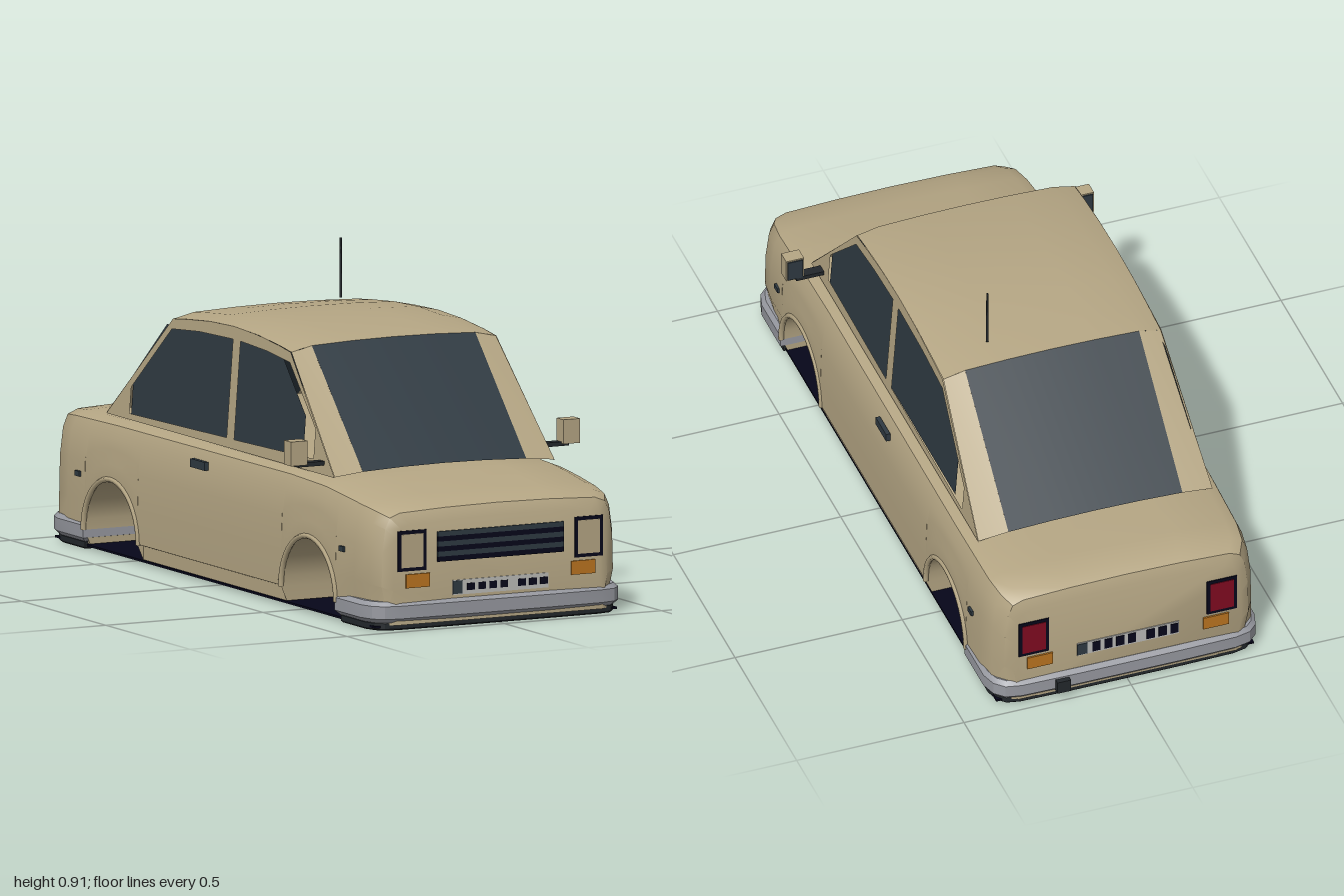
import * as THREE from 'three';
import { toCreasedNormals } from 'three/addons/utils/BufferGeometryUtils.js';

const mat = (name, color, side = THREE.FrontSide) => {
  const m = new THREE.MeshStandardMaterial({ color, side });
  m.name = name;
  return m;
};

export function createModel() {
  const car = new THREE.Group();
  car.name = 'car';
  const paint = mat('beige paint', 0xb5a684, THREE.DoubleSide);
  const glass = mat('slate glass', 0x2f3a42, THREE.DoubleSide);
  const black = mat('navy black', 0x06061a, THREE.DoubleSide);
  const steel = mat('bumper grey', 0x9799a0);
  const rubber = mat('dark rubber', 0x23282c);
  const orange = mat('indicator orange', 0xbb7520);
  const red = mat('tail red', 0x800a20);
  const white = mat('plate grey', 0xbbbbb8);

  const add = (parent, name, geo, material) => {
    const m = new THREE.Mesh(geo, material);
    m.name = name;
    parent.add(m);
    return m;
  };
  // box given by its limits
  const box = (parent, name, material, x0, x1, y0, y1, z0, z1) => {
    const m = add(parent, name, new THREE.BoxGeometry(x1 - x0, y1 - y0, z1 - z0), material);
    m.position.set((x0 + x1) / 2, (y0 + y1) / 2, (z0 + z1) / 2);
    return m;
  };
  const buildGeo = (pos, idx, crease = 0.5) => {
    const g = new THREE.BufferGeometry();
    g.setAttribute('position', new THREE.Float32BufferAttribute(pos, 3));
    g.setIndex(idx);
    return toCreasedNormals(g, crease);
  };

  // ---- lower body: cross-sections along z, [z, half width, top] ----
  const hull = [[-0.972, 0.34, 0.335], [-0.96, 0.365, 0.367], [-0.92, 0.388, 0.386], [-0.85, 0.398, 0.392],
    [-0.6, 0.403, 0.398], [0.43, 0.403, 0.402], [0.64, 0.403, 0.395], [0.745, 0.402, 0.383],
    [0.85, 0.398, 0.369], [0.92, 0.388, 0.357], [0.958, 0.368, 0.342], [0.975, 0.34, 0.31]];
  const hullAt = z => {
    let i = 0;
    while (i < hull.length - 2 && z > hull[i + 1][0]) i++;
    const a = hull[i], b = hull[i + 1], k = (z - a[0]) / (b[0] - a[0]);
    return [a[1] + (b[1] - a[1]) * k, a[2] + (b[2] - a[2]) * k];
  };
  const BOTTOM = 0.018, ARCH_Z = 0.587, ARCH_R = 0.16, ARCH_Y = 0.06;
  const stations = hull.filter(h => Math.abs(Math.abs(h[0]) - ARCH_Z) > ARCH_R).map(h => [h[0], BOTTOM]);
  for (const c of [-ARCH_Z, ARCH_Z]) {
    for (const s of [-1, 1]) stations.push([c + s * (ARCH_R + 0.001), BOTTOM], [c + s * (ARCH_R + 0.0005), BOTTOM]);
    for (let i = 0; i <= 16; i++) {
      const a = Math.PI * i / 16;
      stations.push([c - ARCH_R * Math.cos(a), ARCH_Y + ARCH_R * Math.sin(a)]);
    }
  }
  stations.sort((a, b) => a[0] - b[0]);
  const section = (z, yb) => {
    const [w, t] = hullAt(z);
    const half = [0, 0.12, 0.14, 0.4, 0.75, 1].map(f => {
      const y = yb + (0.85 * t - yb) * f;
      const k = Math.max(0, (y / t - 0.6) / 0.25);
      return [y < 0.06 ? 0.955 * w : w * (1 - 0.032 * k), y];
    });
    half.push([0.93 * w, 0.94 * t], [0.845 * w, 0.975 * t], [0.45 * w, 0.993 * t]);
    return [...half, [0, t], ...half.map(p => [-p[0], p[1]]).reverse()];
  };
  const pos = [], idx = [];
  const n = section(0, BOTTOM).length;
  stations.forEach(([z, yb], s) => {
    section(z, yb).forEach(p => pos.push(p[0], p[1], z));
    if (s === 0) return;
    for (let j = 0; j < n; j++) {
      const a = (s - 1) * n + j, b = (s - 1) * n + (j + 1) % n;
      idx.push(a, b, a + n, b, b + n, a + n);
    }
  });
  const last = (stations.length - 1) * n;
  for (let j = 1; j < n - 1; j++) idx.push(0, j + 1, j, last, last + j, last + j + 1);
  add(car, 'body', buildGeo(pos, idx, 0.6), paint);
  box(car, 'floor', black, -0.385, 0.385, 0.01, 0.016, -0.95, 0.95);

  // wheel arch lips
  for (const x of [-0.402, 0.402]) for (const z of [-ARCH_Z, ARCH_Z]) {
    const lip = add(car, 'wheelArchLip', new THREE.TorusGeometry(0.164, 0.008, 6, 20, Math.PI), paint);
    lip.rotation.y = Math.PI / 2;
    lip.position.set(x, ARCH_Y, z);
  }

  // ---- cabin ----
  // sheet made from rows of points
  const sheet = (name, rows, material) => {
    const c = rows[0].length, id = [];
    for (let r = 0; r < rows.length - 1; r++) for (let j = 0; j < c - 1; j++) {
      const a = r * c + j;
      id.push(a, a + 1, a + c, a + 1, a + c + 1, a + c);
    }
    add(car, name, buildGeo(rows.flat(2), id), material);
  };
  const roofXs = [-0.325, -0.26, -0.13, 0, 0.13, 0.26, 0.325];
  const drop = x => (Math.abs(x) > 0.3 ? 0.021 : 0.1 * x * x);
  const roofLine = [[0.342, 0.728], [0.27, 0.738], [0.14, 0.75], [0, 0.755], [-0.14, 0.75], [-0.27, 0.738], [-0.358, 0.728]];
  sheet('roof', roofLine.map(([z, y]) => roofXs.map(x => [x, y - drop(x), z])), paint);
  // sloping windscreens between painted pillars
  for (const [name, zt, zb] of [['windscreen', 0.342, 0.645], ['rearWindow', -0.358, -0.71]]) {
    const mid = roofXs.slice(1, -1);
    const pane = [mid.map(x => [x, 0.728 - drop(x), zt]), mid.map(x => [x, 0.411 - drop(x), zb])];
    sheet(name, zt > 0 ? pane.reverse() : pane, glass);
    for (const s of [-1, 1]) {
      const rows = [[[s * 0.26, 0.721, zt], [s * 0.325, 0.707, zt]], [[s * 0.26, 0.404, zb], [s * 0.35, 0.395, zb]]];
      sheet(name + 'Pillar', s * zt > 0 ? rows.reverse() : rows, paint);
    }
  }
  // side panels drawn in (z, y), leaning inwards towards the roof
  const toShape = pts => new THREE.Shape(pts.map(p => new THREE.Vector2(p[0], p[1])));
  const lean = (shape, s, inset) => {
    const g = new THREE.ShapeGeometry(shape), p = g.attributes.position;
    for (let i = 0; i < p.count; i++) {
      const z = p.getX(i), y = p.getY(i);
      p.setXYZ(i, s * (0.35 - inset - (y - 0.395) * 0.074), y, z);
    }
    if (s > 0) g.setIndex([...g.index.array].reverse());
    g.computeVertexNormals();
    return g;
  };
  const openings = [
    [[0.045, 0.42], [0.515, 0.43], [0.515, 0.515], [0.34, 0.678], [0.2, 0.692], [0.045, 0.698]],
    [[0, 0.42], [0, 0.698], [-0.2, 0.692], [-0.36, 0.678], [-0.575, 0.485], [-0.575, 0.41]]];
  for (const s of [-1, 1]) {
    const panel = toShape([[0.645, 0.393], ...roofLine.map(([z, y]) => [z, y - 0.021]), [-0.71, 0.393]]);
    openings.forEach(o => panel.holes.push(new THREE.Path(o.map(p => new THREE.Vector2(p[0], p[1])))));
    add(car, 'cabinSide', lean(panel, s, 0), paint);
    // each pane stops short of one end of its opening
    const k = s;
    const pane = toShape([[0.52, 0.405], [0.52, 0.52], [0.345, 0.685], [0, 0.705], [-0.345, 0.685], [-0.5, 0.54], [-0.5, 0.405]]
      .map(([z, y]) => [k > 0 ? z : -z - 0.06, y]));
    add(car, 'sideGlass', lean(pane, s, 0.008), glass);
  }

  // ---- bumpers and skirts ----
  const plan = [[0.405, 0.747], [0.405, 0.9], [0.392, 0.945], [0.365, 0.972], [0.32, 0.982], [0.15, 0.985]];
  const planShape = toShape([...plan, ...plan.map(p => [-p[0], p[1]]).reverse()]);
  const slab = (depth, bevel, offset) => {
    const g = new THREE.ExtrudeGeometry(planShape, { depth, bevelEnabled: true, bevelSegments: 1,
      bevelSize: bevel, bevelThickness: bevel, bevelOffset: offset });
    g.rotateX(Math.PI / 2);
    return toCreasedNormals(g, 0.5);
  };
  const front = new THREE.Group(), rear = new THREE.Group();
  front.name = 'frontEnd';
  rear.name = 'rearEnd';
  rear.rotation.y = Math.PI;
  car.add(front, rear);
  for (const end of [front, rear]) {
    add(end, 'bumper', slab(0.036, 0.012, -0.012), steel).position.y = 0.073;
    add(end, 'bumperSkirt', slab(0.016, 0.004, -0.018), rubber).position.y = 0.023;

    // lamps with dark frames, indicators below
    const isRear = end === rear, z = isRear ? 0.971 : 0.974;
    for (const s of [-1, 1]) {
      const c = s * 0.281;
      box(end, 'lampFrame', black, c - 0.045, c + 0.045, 0.17, 0.285, z, z + 0.004);
      box(end, 'lamp', isRear ? red : paint, c - 0.035, c + 0.035, 0.18, 0.275, z, z + 0.006);
      box(end, 'indicator', orange, s * 0.263 - 0.038, s * 0.263 + 0.038, 0.122, 0.161, z, z + 0.006);
    }
    // plate with plain square marks
    const py = isRear ? 0.128 : 0.092;
    box(end, 'plate', white, -0.152, 0.152, py, py + 0.042, z, z + 0.004);
    box(end, 'plateBand', glass, -0.152, -0.122, py + 0.003, py + 0.04, z, z + 0.006);
    for (const x of [-0.095, -0.059, -0.024, 0.011, 0.067, 0.103, 0.138]) {
      const tall = isRear ? 0.006 : 0;
      box(end, 'plateMark', black, x - 0.012, x + 0.012, py + 0.011 - tall, py + 0.031 + tall, z, z + 0.006);
    }
  }
  // grille bars
  for (let i = 0; i < 6; i++) {
    const y = 0.19 + i * 0.0143;
    box(front, 'grilleBar', i % 2 ? glass : black, -0.2, 0.2, y, y + 0.0143, 0.974, 0.98);
  }
  box(car, 'exhaust', rubber, 0.18, 0.22, 0.03, 0.068, -1, -0.96);

  // ---- small side parts ----
  for (const s of [-1, 1]) {
    const side = new THREE.Group();
    side.name = s > 0 ? 'leftDetails' : 'rightDetails';
    car.add(side);
    const b = (name, m, x0, x1, ...r) => box(side, name, m, Math.min(s * x0, s * x1), Math.max(s * x0, s * x1), ...r);
    b('doorHandle', glass, 0.392, 0.405, 0.326, 0.35, -0.11, -0.025);
    for (const z of [-0.785, 0.785]) b('sideMarker', glass, 0.396, 0.405, 0.208, 0.223, z - 0.013, z + 0.013);
    b('mirrorArm', rubber, 0.335, 0.43, 0.42, 0.432, 0.55, 0.58);
    b('mirror', paint, 0.407, 0.46, 0.427, 0.496, 0.551, 0.592);
    b('mirrorGlass', glass, 0.411, 0.456, 0.431, 0.492, 0.547, 0.552);
  }
  const antenna = add(car, 'antenna', new THREE.CylinderGeometry(0.003, 0.004, 0.17, 8), rubber);
  antenna.position.set(0.165, 0.827, -0.28);
  return car;
}
